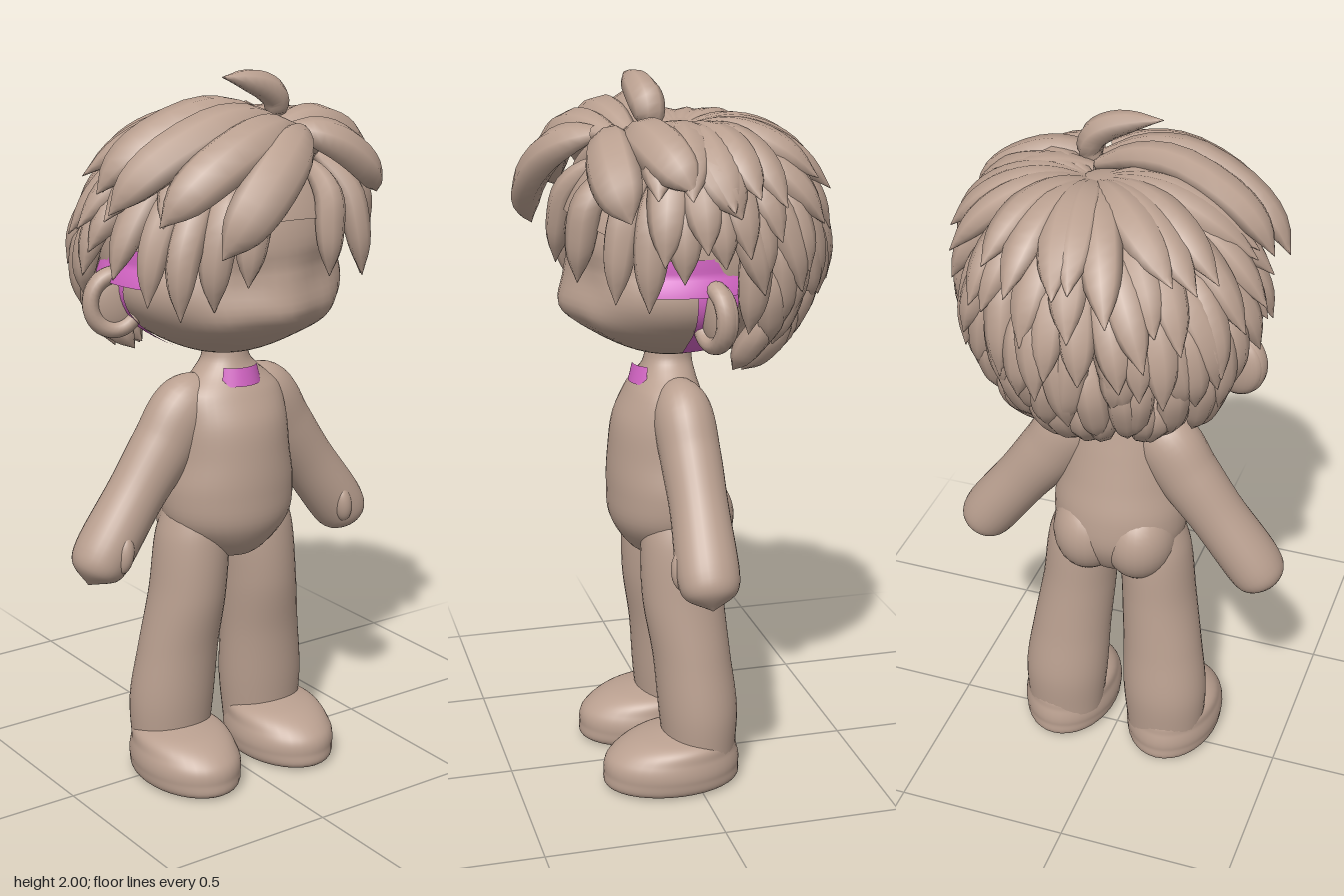
import * as THREE from 'three';

const material = (name, color) => Object.assign(new THREE.MeshStandardMaterial({ color }), { name });
const clay = material('clay', 0xbaa090);
const magenta = material('magenta', 0xd264c3);
const HEAD = new THREE.Vector3(0, 1.52, 0);
const UP = new THREE.Vector3(0, 1, 0);
const rad = THREE.MathUtils.degToRad;

// Seeded wobble in -1..1
let seed = 7;
const wob = () => { seed = (seed * 16807) % 2147483647; return (seed / 2147483647) * 2 - 1; };

// Elliptical tube through points [x, y, z, width, thickness]; thickness faces ref(point).
// With an axis given, all sections stay square to it.
function sweep(pts, ref, sides = 28, segs = 40, axis = null) {
  const path = new THREE.CatmullRomCurve3(pts.map(p => new THREE.Vector3(p[0], p[1], p[2])));
  const size = new THREE.CatmullRomCurve3(pts.map(p => new THREE.Vector3(p[3], p[4], 0)), false, 'catmullrom', 0.5);
  const pos = [], idx = [];
  for (let i = 0; i <= segs; i++) {
    const c = path.getPoint(i / segs), s = size.getPoint(i / segs), T = axis ?? path.getTangent(i / segs);
    const N = ref(c);
    N.addScaledVector(T, -N.dot(T)).normalize();
    const B = new THREE.Vector3().crossVectors(T, N);
    for (let j = 0; j < sides; j++) {
      const a = (j / sides) * Math.PI * 2;
      const p = c.clone().addScaledVector(N, Math.cos(a) * Math.max(s.y, 0.001))
        .addScaledVector(B, Math.sin(a) * Math.max(s.x, 0.001));
      pos.push(p.x, p.y, p.z);
      if (i < segs) {
        const k = (j + 1) % sides, q = i * sides, r = q + sides;
        idx.push(q + j, q + k, r + k, q + j, r + k, r + j);
      }
    }
  }
  const g = new THREE.BufferGeometry();
  g.setAttribute('position', new THREE.Float32BufferAttribute(pos, 3));
  g.setIndex(idx);
  g.computeVertexNormals();
  return g;
}
const forward = () => new THREE.Vector3(0, 0, 1);
const fromHead = p => p.clone().sub(HEAD);
const upright = pts => sweep(pts, forward, 36, 48, UP);

function add(parent, name, geo, mat = clay) {
  const m = new THREE.Mesh(geo, mat);
  m.name = name;
  parent.add(m);
  return m;
}
function ball(parent, name, x, y, z, rx, ry, rz) {
  const m = add(parent, name, new THREE.SphereGeometry(1, 28, 20));
  m.position.set(x, y, z);
  m.scale.set(rx, ry, rz);
  return m;
}
function group(parent, name) {
  const g = new THREE.Group();
  g.name = name;
  parent.add(g);
  return g;
}

// Tapered strand of hair through a few points
function lock(parent, name, pts, w, t) {
  const curve = new THREE.CatmullRomCurve3(pts);
  const taper = [0.35, 0.8, 1, 1, 0.74, 0];
  const full = taper.map((k, i) => [...curve.getPoint(i / 5).toArray(), w * k, t * k]);
  add(parent, name, sweep(full, fromHead, 8, 14));
}

// Point on the hair dome; azimuth 0 is the front, polar 0 the crown
function dome(az, polar, k) {
  const a = rad(az), p = rad(polar), c = Math.max(0, Math.cos(p));
  return new THREE.Vector3(
    0.07 * c + 0.365 * k * Math.sin(p) * Math.sin(a),
    1.52 + 0.365 * k * Math.cos(p),
    0.02 * c + (Math.cos(a) > 0 ? 0.33 : 0.355) * k * Math.sin(p) * Math.cos(a));
}

// Strand lying on the dome, its tip lifted off
function domeLock(parent, name, az, drift, from, to, w, lift) {
  const at = (f, k) => dome(az + drift * f, from + (to - from) * f, k);
  lock(parent, name, [at(0, 0.9), at(0.35, 1), at(0.7, 0.4 + 0.58 * lift), at(1, lift)], w, 0.038);
}

// Skull shape with full cheeks, shallow eye hollows and a small muzzle
function skull(g) {
  const P = g.attributes.position;
  const bump = (x, y, cx, cy, sx, sy) => Math.exp(-(((x - cx) / sx) ** 2) - ((y - cy) / sy) ** 2);
  for (let i = 0; i < P.count; i++) {
    let x = P.getX(i), y = P.getY(i), z = P.getZ(i);
    const full = y < 0 ? 1 + 0.14 * Math.sin(Math.PI * -y) : 1;
    x *= 0.305 * full;
    z *= 0.285 * full;
    y = 1.51 + y * (y < 0 ? 0.28 : 0.34);
    if (z > 0) {
      z += 0.022 * bump(x, y, 0, 1.365, 0.08, 0.05);
      for (const s of [-1, 1]) {
        z -= 0.03 * bump(x, y, s * 0.13, 1.46, 0.1, 0.06);
        z += 0.02 * bump(x, y, s * 0.18, 1.34, 0.07, 0.05);
      }
    }
    P.setXYZ(i, x, y, z + 0.03);
  }
  g.computeVertexNormals();
  return g;
}

function makeHead(root) {
  const head = group(root, 'head');
  add(head, 'face', skull(new THREE.SphereGeometry(1, 56, 44)));

  for (const s of [-1, 1]) {
    // Ears: cupped disc with a raised rim
    ball(head, 'ear', s * 0.335, 1.4, -0.02, 0.08, 0.09, 0.035).rotation.y = s * 0.25;
    const rim = add(head, 'earRim', new THREE.TorusGeometry(0.066, 0.022, 12, 32));
    rim.position.set(s * 0.335, 1.4, -0.005);
    rim.scale.set(1, 1.12, 1.3);
    rim.rotation.y = s * 0.25;

    // Magenta skin above and behind the ear: [radius, back, front, top, bottom] as angles
    for (const [r, back, front, top, bottom] of [[1.11, 0.55, 0.38, 1.46, 1.74], [1.02, 0.36, 0.02, 1.7, 2.6]]) {
      const start = s > 0 ? Math.PI - front : -back;
      add(head, 'earPatch', skull(new THREE.SphereGeometry(r, 14, 12, start, back + front, top, bottom - top)), magenta);
    }
  }
}

function makeHair(root) {
  const hair = group(root, 'hair');

  // Scalp cap, tipped backwards to leave the face open
  const cap = add(hair, 'scalp', new THREE.SphereGeometry(1, 40, 24, 0, Math.PI * 2, 0, rad(96)));
  cap.scale.set(0.335, 0.345, 0.325);
  cap.position.set(0, 1.53, 0);
  cap.rotation.x = -0.42;
  ball(hair, 'napeBase', 0, 1.45, -0.09, 0.27, 0.22, 0.21);

  // Overlapping rows from crown to nape; the lower rows start behind the ears
  for (let r = 0; r < 6; r++) {
    const n = 16 - r, half = r < 2 ? 118 : 88 - 5 * r;
    for (let i = 0; i < n; i++) {
      const az = 180 + half * (2 * (i + (r % 2) * 0.3) / (n - 0.7) - 1) + wob() * 3;
      domeLock(hair, 'strand', az, wob() * 8, 4 + 20 * r, 66 + 15.4 * r + wob() * 6,
        0.058 - 0.0035 * r, 1.23 - 0.042 * r + wob() * 0.03);
    }
  }

  // Short strands hanging over the brow and temples
  for (const [az, end] of [[22, 98], [48, 101], [62, 103], [76, 92], [92, 87], [-20, 98], [-34, 108], [-47, 109],
    [-60, 104], [-75, 95], [-91, 87]])
    domeLock(hair, 'hangingLock', az, 0, 42, end, 0.047, Math.abs(az) > 45 ? 1.14 : 1.03);

  // Fringe arching from the parting out to each tip [x, y, z, root z]
  const tips = [
    [-0.24, 1.56, 0.36, 0.25], [-0.36, 1.64, 0.26, 0.21], [-0.43, 1.66, 0.13, 0.16], [-0.41, 1.7, 0.04, 0.1],
    [0.37, 1.66, 0.22, 0.21], [0.42, 1.74, 0.07, 0.15], [0.43, 1.67, -0.05, 0.08],
  ];
  for (const [x, y, z, rootZ] of tips) {
    const a = fromHead(new THREE.Vector3(0.09, 1.85, rootZ)), b = fromHead(new THREE.Vector3(x, y, z));
    const pts = [0, 0.3, 0.7, 1].map(f => a.clone().lerp(b, f)
      .setLength(a.length() + (b.length() - a.length()) * f + 0.06 * f * (1 - f)).add(HEAD));
    lock(hair, 'fringeLock', pts, 0.07, 0.046);
  }

  // Curled tuft standing on the crown
  const tuft = [[0.1, 1.84, 0.1], [0.11, 1.91, 0.11], [0.05, 1.96, 0.12], [-0.08, 1.985, 0.13]];
  lock(hair, 'tuft', tuft.map(p => new THREE.Vector3(...p)), 0.047, 0.037);
}

function makeBody(root) {
  const body = group(root, 'body');

  // Torso and neck: [y, z, half width, half depth]
  add(body, 'torso', upright([
    [0.63, 0.03, 0, 0], [0.66, 0.03, 0.09, 0.1], [0.75, 0.035, 0.18, 0.16], [0.85, 0.04, 0.195, 0.165],
    [0.95, 0.05, 0.178, 0.15], [1.05, 0.055, 0.168, 0.13], [1.13, 0.045, 0.155, 0.1],
    [1.18, 0.035, 0.1, 0.076], [1.22, 0.03, 0.066, 0.066], [1.3, 0.02, 0.066, 0.066],
  ].map(p => [0, ...p])));

  // Magenta band on the front of the neck
  const band = new THREE.CylinderGeometry(0.068, 0.08, 0.05, 20, 1, true, -0.95, 1.9);
  add(body, 'neckBand', band, magenta).position.set(0, 1.175, 0.062);

  for (const s of [-1, 1]) {
    const side = pts => pts.map(([x, ...rest]) => [s * x, ...rest]);
    ball(body, 'buttock', s * 0.075, 0.765, -0.02, 0.105, 0.13, 0.118);

    // Leg runs from foot to hip
    add(body, 'leg', upright(side([
      [0.16, 0.08, -0.018, 0.115, 0.1], [0.156, 0.22, -0.015, 0.125, 0.112], [0.142, 0.38, 0, 0.117, 0.11],
      [0.123, 0.55, 0.02, 0.108, 0.115], [0.11, 0.72, 0.025, 0.1, 0.11], [0.105, 0.84, 0.03, 0.06, 0.08],
    ])));

    // Rounded foot on a flat sole
    add(body, 'foot', upright(side([
      [0.165, 0, 0.065, 0, 0], [0.165, 0.004, 0.065, 0.118, 0.175], [0.165, 0.05, 0.065, 0.141, 0.196],
      [0.165, 0.1, 0.06, 0.136, 0.185], [0.163, 0.145, 0.03, 0.113, 0.135], [0.16, 0.172, 0.01, 0, 0],
    ])));

    // Arm ending in a mitten hand
    add(body, 'arm', sweep(side([
      [0.04, 1.14, 0.03, 0.04, 0.04], [0.125, 1.09, 0.025, 0.092, 0.08], [0.2, 0.985, 0.02, 0.092, 0.083],
      [0.29, 0.865, 0.02, 0.082, 0.08], [0.4, 0.715, 0.025, 0.081, 0.085],
      [0.432, 0.665, 0.025, 0.064, 0.068], [0.45, 0.632, 0.025, 0, 0],
    ]), forward));
    ball(body, 'thumb', s * 0.375, 0.725, 0.09, 0.027, 0.055, 0.03).rotation.z = s * 0.15;
  }
}

export function createModel() {
  const root = new THREE.Group();
  root.name = 'figure';
  makeBody(root);
  makeHead(root);
  makeHair(root);
  return root;
}
